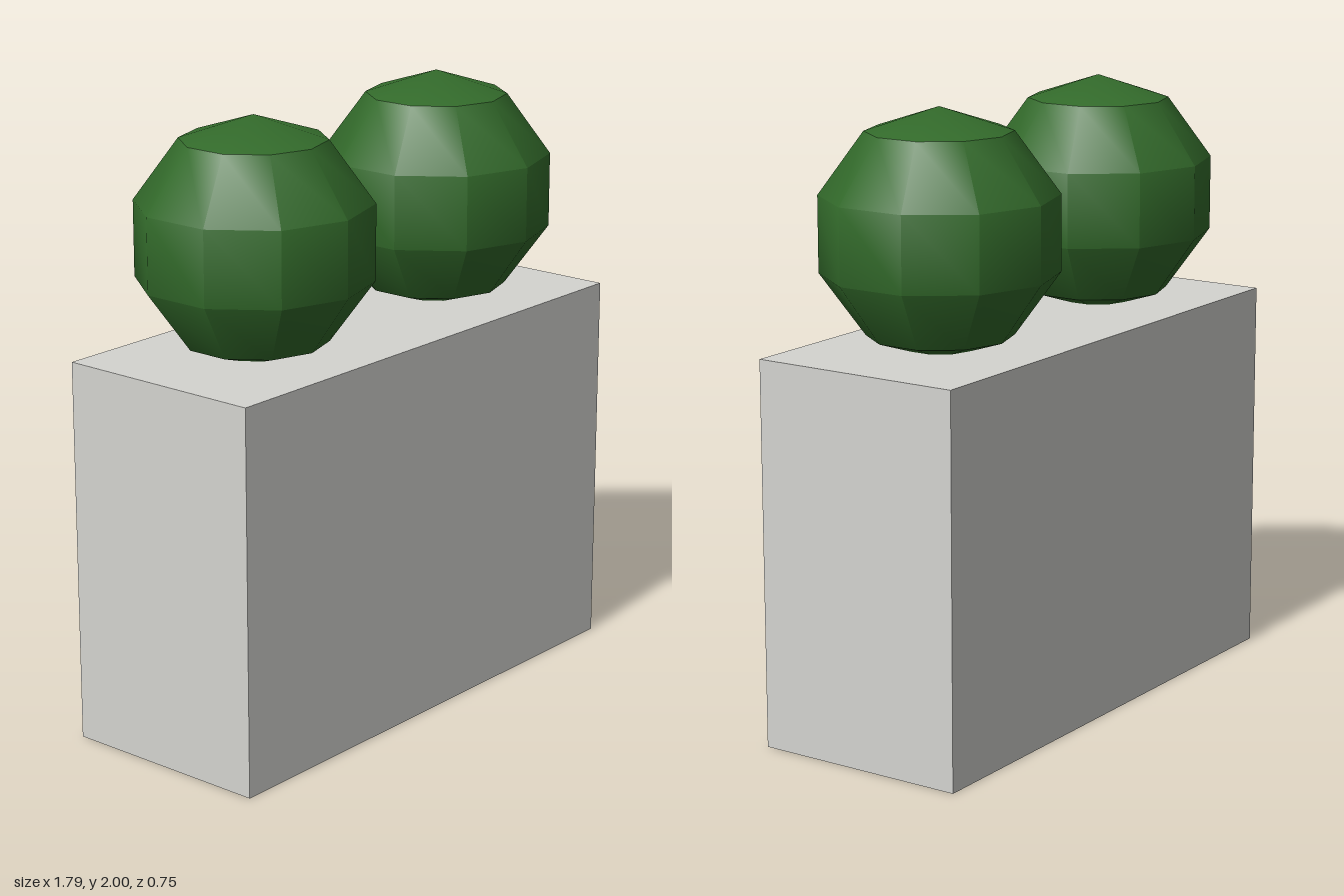
import * as THREE from 'three';
import { toCreasedNormals } from 'three/addons/utils/BufferGeometryUtils.js';

const U = 2 / 5.6; // one design unit

export function createModel() {
  const stone = new THREE.MeshStandardMaterial({ color: 0xd4d4d0 });
  stone.name = 'stone grey';
  const leaf = new THREE.MeshStandardMaterial({ color: 0x336b2b });
  leaf.name = 'leaf green';

  const group = new THREE.Group();
  group.name = 'planter';

  // solid planter block
  const block = new THREE.Mesh(new THREE.BoxGeometry(5 * U, 3.5 * U, 2 * U), stone);
  block.name = 'planterBlock';
  block.position.y = 1.75 * U;
  group.add(block);

  // two round bushes, slightly sunk into the block, corners pointing front and back;
  // the crease angle leaves only the rims of the top and bottom caps sharp
  const sphere = new THREE.SphereGeometry(1.1 * U, 10, 5).rotateY(Math.PI / 2);
  const bushGeometry = toCreasedNormals(sphere, THREE.MathUtils.degToRad(36.25));
  for (const [name, side] of [['leftBush', 1], ['rightBush', -1]]) {
    const bush = new THREE.Mesh(bushGeometry, leaf);
    bush.name = name;
    bush.position.set(side * 1.25 * U, 4.5 * U, 0);
    group.add(bush);
  }
  return group;
}
